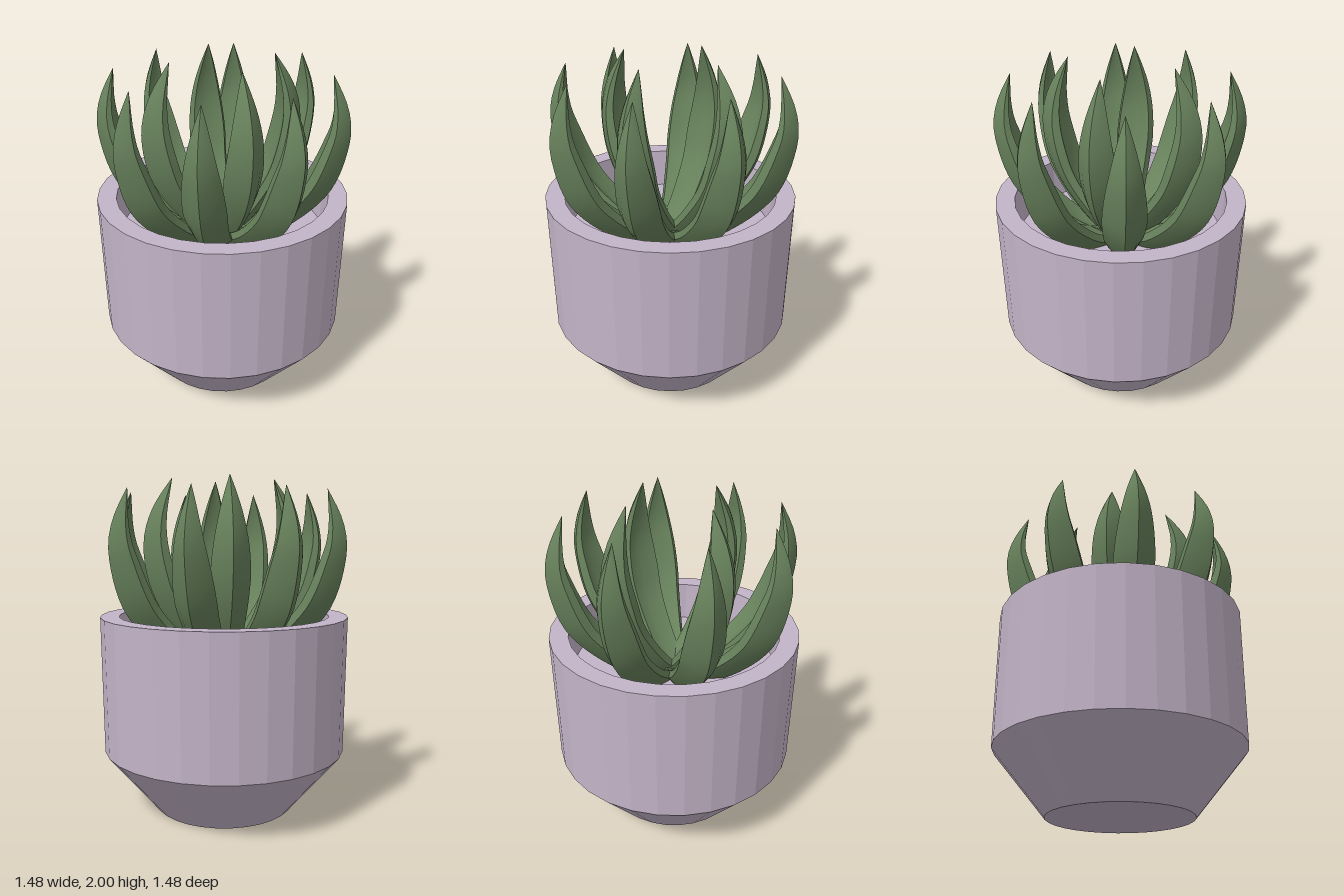
import * as THREE from 'three';
import { toCreasedNormals } from 'three/addons/utils/BufferGeometryUtils.js';

const vec = (pts) => pts.map(([x, y]) => new THREE.Vector2(x, y));

// Leaf cross-section (sideways, outward): sharp keel outside, shallow channel inside
const SECTION = [
  [0, 0.08], [-0.067, 0.032], [-0.12, -0.035], [-0.098, -0.082],
  [0, -0.05], [0.098, -0.082], [0.12, -0.035], [0.067, 0.032],
];

// Sweeps the section along a centre line in the xy plane, tapering to a point
function leafGeometry(path, width) {
  const curve = new THREE.SplineCurve(vec(path));
  const rings = 24, n = SECTION.length;
  const pos = [], index = [];
  for (let i = 0; i <= rings; i++) {
    const t = i / rings;
    const p = curve.getPointAt(t), d = curve.getTangentAt(t);
    const s = t < 0.5 ? 0.75 + 0.5 * t : Math.max(0.002, 1 - Math.pow((t - 0.5) * 2, 1.9));
    for (const [side, out] of SECTION) {
      pos.push(p.x + d.y * out * s, p.y - d.x * out * s, side * s * width);
    }
  }
  for (let i = 0; i < rings; i++) {
    for (let j = 0; j < n; j++) {
      const a = i * n + j, b = i * n + (j + 1) % n;
      index.push(a, b, b + n, a, b + n, a + n);
    }
  }
  const geo = new THREE.BufferGeometry();
  geo.setAttribute('position', new THREE.Float32BufferAttribute(pos, 3));
  geo.setIndex(index);
  return toCreasedNormals(geo, 0.85);
}

export function createModel() {
  const model = new THREE.Group();
  const potMaterial = new THREE.MeshStandardMaterial({ color: 0xc4b5c9, flatShading: true });
  const leafMaterial = new THREE.MeshStandardMaterial({ color: 0x68825c });

  // Faceted pot with tapered foot, thick rim and sunken floor
  const pot = new THREE.Mesh(new THREE.LatheGeometry(vec([
    [0, 0], [0.42, 0], [0.733, 0.375], [0.742, 1.19],
    [0.63, 1.19], [0.615, 0.95], [0, 0.95],
  ]), 30), potMaterial);
  pot.name = 'pot';
  model.add(pot);

  // Rings of leaves, angles in degrees from +x towards +z
  const addRing = (name, geometry, angles) => {
    const ring = new THREE.Group();
    ring.name = name;
    for (const angle of angles) {
      const leaf = new THREE.Mesh(geometry, leafMaterial);
      leaf.name = 'leaf';
      leaf.rotation.y = -THREE.MathUtils.degToRad(angle);
      ring.add(leaf);
    }
    model.add(ring);
  };

  addRing('outerLeaves', leafGeometry([
    [0.05, 0.9], [0.3, 1.0], [0.545, 1.24], [0.655, 1.53], [0.665, 1.72], [0.608, 1.93],
  ], 1), [1, 49, 95, 139, 180, 223, 268, 316]);

  addRing('innerLeaves', leafGeometry([
    [0.04, 0.92], [0.18, 1.06], [0.335, 1.3], [0.405, 1.57], [0.39, 1.78], [0.305, 2.0],
  ], 0.95), [23, 110, 198, 294]);

  return model;
}
